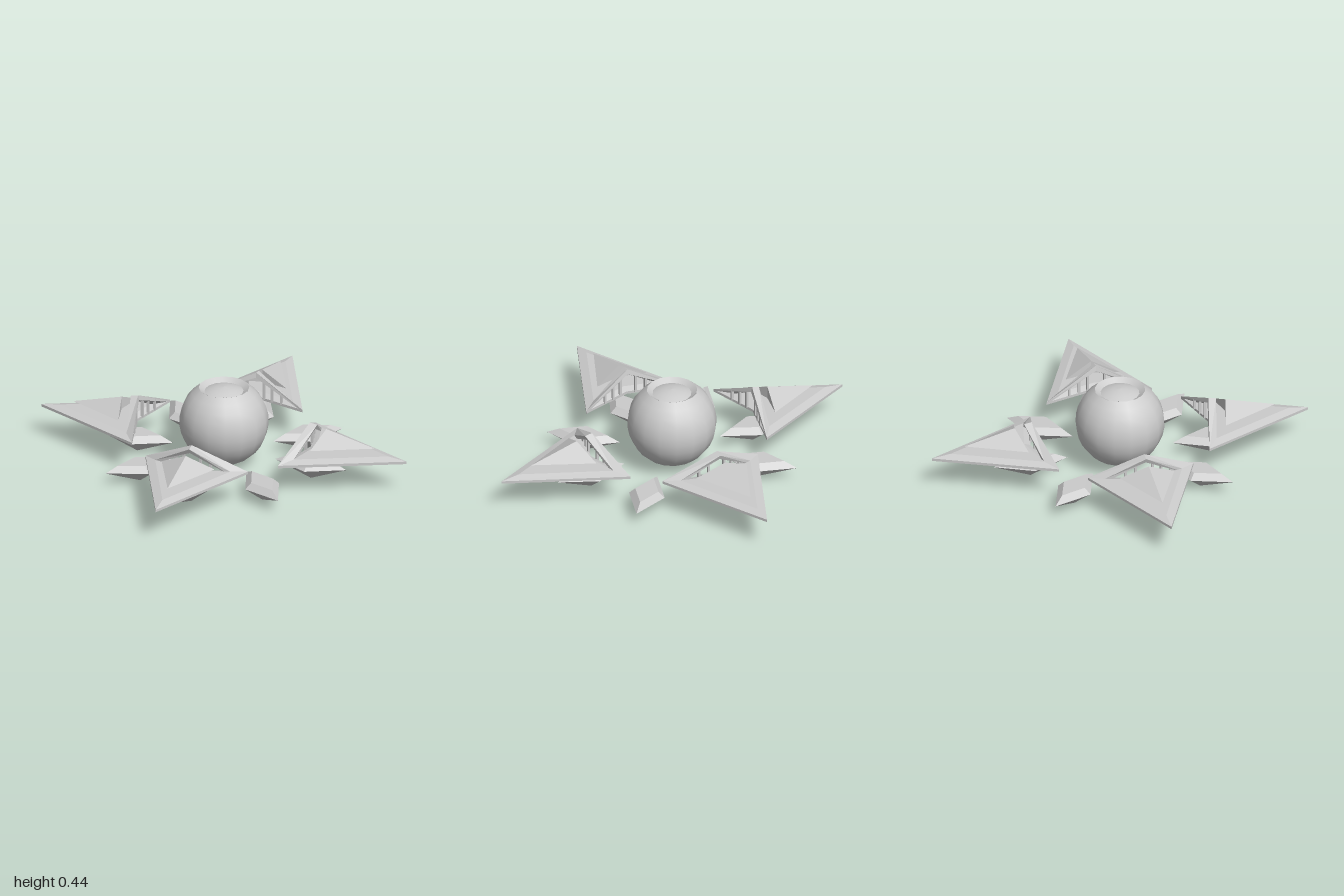
import * as THREE from 'three';

const material = new THREE.MeshStandardMaterial({ color: 0xcccccc, flatShading: true });
const smooth = new THREE.MeshStandardMaterial({ color: 0xcccccc, side: THREE.DoubleSide });

// Flat-faced solid through a stack of equal-length loops, capped at both ends.
function loft(name, loops) {
  const pos = [];
  const tri = (...corners) => corners.forEach((p) => pos.push(...p));
  const n = loops[0].length;
  for (let k = 0; k < loops.length - 1; k++) {
    const lo = loops[k], hi = loops[k + 1];
    for (let i = 0; i < n; i++) {
      const j = (i + 1) % n;
      tri(lo[i], lo[j], hi[j]);
      tri(lo[i], hi[j], hi[i]);
    }
  }
  const first = loops[0], last = loops[loops.length - 1];
  for (let i = 1; i < n - 1; i++) {
    tri(first[0], first[i + 1], first[i]);
    tri(last[0], last[i], last[i + 1]);
  }
  const geometry = new THREE.BufferGeometry();
  geometry.setAttribute('position', new THREE.Float32BufferAttribute(pos, 3));
  geometry.computeVertexNormals();
  const mesh = new THREE.Mesh(geometry, material);
  mesh.name = name;
  return mesh;
}

// Notched arrowhead pointing to +z.
const arrow = (y, notch, halfWidth, back, tip, notchY = y) => [
  [0, notchY, notch], [-halfWidth, y, back], [0, y, tip], [halfWidth, y, back],
];

function createWing() {
  const wing = new THREE.Group();
  wing.name = 'wing';

  // Base plate with a bevelled rim
  wing.add(loft('wingPlate', [
    arrow(0.163, 0.476, 0.28, 0.4, 1),
    arrow(0.177, 0.476, 0.28, 0.4, 1),
    arrow(0.19, 0.51, 0.205, 0.458, 0.9),
  ]));

  // Raised, ridged panel floating over the plate
  wing.add(loft('wingPanel', [
    arrow(0.222, 0.56, 0.145, 0.525, 0.825),
    arrow(0.222, 0.56, 0.145, 0.525, 0.825, 0.29),
  ]));

  // Leaning arch over the notch
  const foot = (s) => [
    [s * 0.28, 0.165, 0.4], [s * 0.28, 0.177, 0.4],
    [s * 0.205, 0.19, 0.458], [s * 0.205, 0.17, 0.458],
  ];
  const apex = [[0, 0.285, 0.465], [0, 0.312, 0.47], [0, 0.305, 0.51], [0, 0.28, 0.5]];
  wing.add(loft('wingArch', [foot(-1), apex, foot(1)]));

  // Thin posts between plate and arch
  for (const side of [-1, 1]) {
    for (const x of [0.045, 0.095, 0.15]) {
      const top = 0.29 - 0.4 * x, bottom = 0.17;
      const post = new THREE.Mesh(new THREE.BoxGeometry(0.012, top - bottom, 0.012), material);
      post.position.set(side * x, (top + bottom) / 2, 0.476 - 0.26 * x);
      post.name = 'archPost';
      wing.add(post);
    }
  }
  return wing;
}

// Long diamond with a flat bevelled top and a pointed underside
function createGem(distance) {
  const ring = (y, s) => [
    [0, y, distance - 0.195 * s], [-0.095 * s, y, distance],
    [0, y, distance + 0.195 * s], [0.095 * s, y, distance],
  ];
  return loft('gem', [ring(0, 0.001), ring(0.075, 1), ring(0.106, 0.65)]);
}

function createOrb() {
  const orb = new THREE.Group();
  orb.name = 'orb';
  const lathe = (name, points) => {
    const mesh = new THREE.Mesh(
      new THREE.LatheGeometry(points.map(([x, y]) => new THREE.Vector2(x, y)), 16), smooth);
    mesh.name = name;
    orb.add(mesh);
  };
  const radius = 0.23, centre = 0.245, end = Math.PI - Math.asin(0.13 / radius);
  const shell = [];
  for (let i = 0; i <= 12; i++) {
    const a = (end * i) / 12;
    shell.push([radius * Math.sin(a), centre - radius * Math.cos(a)]);
  }
  lathe('orbShell', shell);
  // Sunken collar and domed lens on top
  lathe('orbCollar', [[0.13, 0.435], [0.1, 0.415]]);
  lathe('orbLens', [[0.1, 0.415], [0.07, 0.428], [0.035, 0.436], [0, 0.439]]);
  return orb;
}

export function createModel() {
  const model = new THREE.Group();
  model.name = 'starOrnament';
  model.add(createOrb());
  // Four wings, a gem under each, and a gem on each diagonal
  for (let i = 0; i < 4; i++) {
    const angle = (i * Math.PI) / 2;
    const wing = createWing();
    wing.rotation.y = angle;
    const innerGem = createGem(0.475);
    innerGem.name = 'wingGem';
    innerGem.rotation.y = angle;
    const diagonalGem = createGem(0.472);
    diagonalGem.name = 'diagonalGem';
    diagonalGem.rotation.y = angle + Math.PI / 4;
    model.add(wing, innerGem, diagonalGem);
  }
  return model;
}
